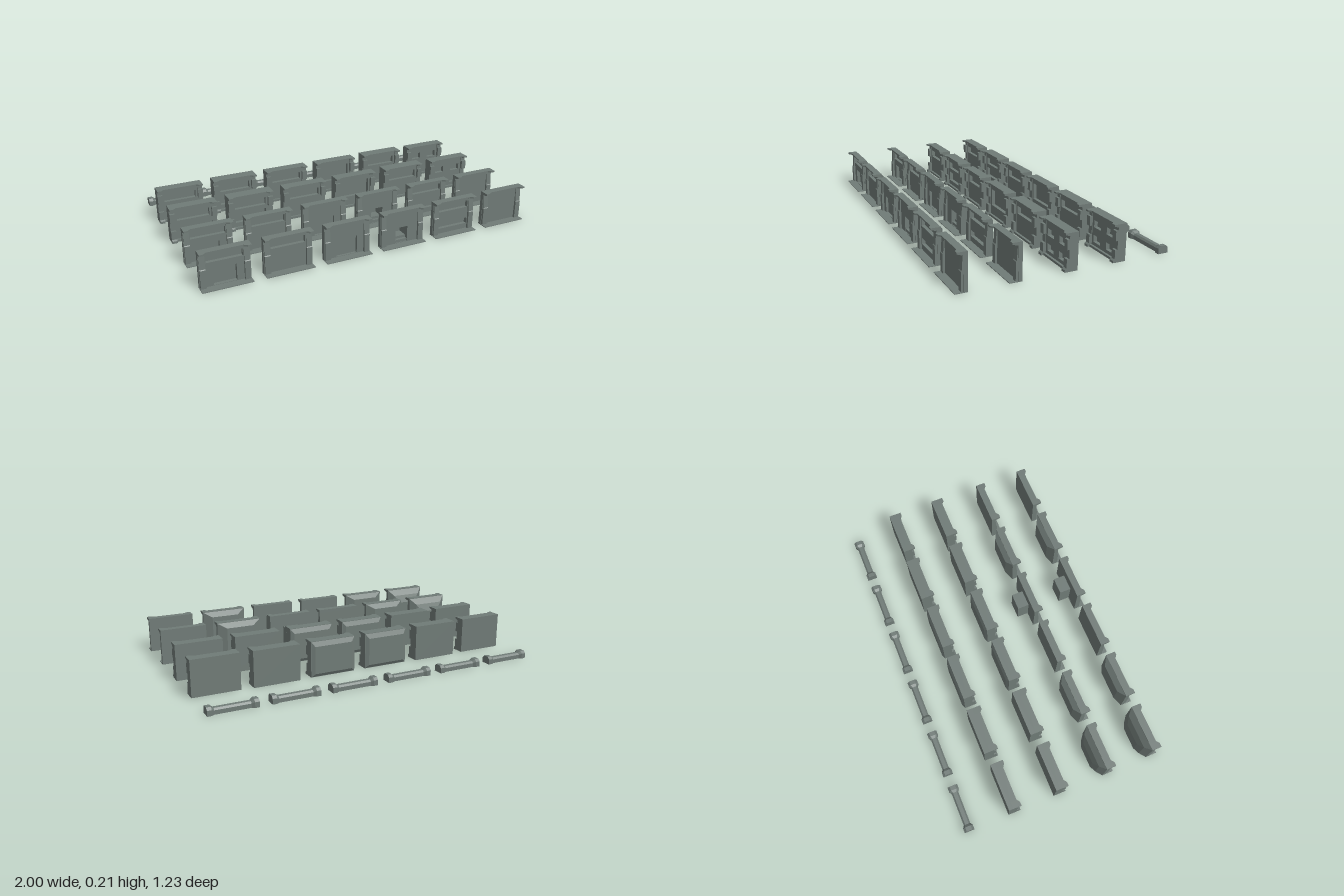
import * as THREE from 'three';

const W = 0.275, H = W / 2, PITCH = 0.345;

export function createModel() {
  const root = new THREE.Group();
  root.name = 'wallPanelKit';
  const stone = new THREE.MeshStandardMaterial({ color: 0x707b77 });
  stone.name = 'greyGreen';

  const add = (group, name, geometry) => {
    const mesh = new THREE.Mesh(geometry, stone);
    mesh.name = name;
    group.add(mesh);
    return mesh;
  };

  // Box given by its limits
  const box = (group, name, x0, x1, y0, y1, z0, z1) =>
    add(group, name, new THREE.BoxGeometry(x1 - x0, y1 - y0, z1 - z0)
      .translate((x0 + x1) / 2, (y0 + y1) / 2, (z0 + z1) / 2));

  // Flat-faced solid through convex rings of points
  const loft = (rings) => {
    const n = rings[0].length, tris = [];
    for (let r = 0; r < rings.length - 1; r++) {
      for (let i = 0; i < n; i++) {
        const j = (i + 1) % n, a = rings[r], b = rings[r + 1];
        tris.push([a[i], a[j], b[j]], [a[i], b[j], b[i]]);
      }
    }
    const last = rings[rings.length - 1];
    for (let i = 1; i < n - 1; i++) {
      tris.push([rings[0][0], rings[0][i + 1], rings[0][i]], [last[0], last[i], last[i + 1]]);
    }
    // turn every face outward
    let volume = 0;
    for (const [a, b, c] of tris) {
      volume += new THREE.Vector3(...a).dot(new THREE.Vector3(...b).cross(new THREE.Vector3(...c)));
    }
    const flat = tris.flatMap(([a, b, c]) => (volume < 0 ? [a, c, b] : [a, b, c])).flat();
    const g = new THREE.BufferGeometry();
    g.setAttribute('position', new THREE.Float32BufferAttribute(flat, 3));
    g.computeVertexNormals();
    return g;
  };

  // Side profile of [z, y] points drawn out from x0 to x1
  const prism = (points, x0, x1) => {
    const shape = new THREE.Shape(points.map(([z, y]) => new THREE.Vector2(-z, y)));
    return new THREE.ExtrudeGeometry(shape, { depth: x1 - x0, bevelEnabled: false })
      .rotateY(Math.PI / 2).translate(x0, 0, 0);
  };

  // Upright plate with rectangular holes [x0, x1, y0, y1]
  const plate = (rect, holes, z0, z1) => {
    const path = (P, [a, b, c, d]) => new P([[a, c], [b, c], [b, d], [a, d]].map(p => new THREE.Vector2(...p)));
    const shape = path(THREE.Shape, rect);
    holes.forEach(h => shape.holes.push(path(THREE.Path, h)));
    return new THREE.ExtrudeGeometry(shape, { depth: z1 - z0, bevelEnabled: false }).translate(0, 0, z0);
  };

  // Stepped bulge from rectangles [halfWidth, y0, y1, z]
  const bulge = (steps) => loft(steps.map(([w, a, b, z]) => [[-w, a, z], [w, a, z], [w, b, z], [-w, b, z]]));

  // Cornice whose ends stand further forward than its middle
  const cornice = (back, middle, end) => loft([
    [-H, end], [-H + 0.022, end], [-H + 0.04, middle],
    [H - 0.04, middle], [H - 0.022, end], [H, end],
  ].map(([x, f]) => [[x, 0.21, back], [x, 0.21, f], [x, 0.201, f], [x, 0.193, f - 0.025], [x, 0.193, back]]));

  const slot = [-0.098, 0.098, 0.14, 0.18];
  const lowSlot = [-0.098, 0.098, 0.035, 0.07];
  const shallow = [[H, 0.002, 0.208, 0.546], [0.085, 0.035, 0.178, 0.517]];
  const deep = [[H, 0.002, 0.208, 0.546], [0.1, 0.002, 0.17, 0.517], [0.062, 0.002, 0.12, 0.5]];
  const baySpecs = [
    { holes: [slot, [-0.062, 0.062, 0.006, 0.1]], back: deep },
    { holes: [slot], back: shallow },
    { holes: [[-0.062, 0.062, 0.006, 0.11]] },
    { holes: [[-0.038, 0.038, 0.006, 0.1]], niche: true },
    { holes: [slot, lowSlot], back: shallow },
    { holes: [] },
  ];

  // Tall wall with leaning pilasters and a base plate
  function bayWall(spec) {
    const g = new THREE.Group();
    g.name = 'bayWall';
    box(g, 'basePlate', -H, H, 0, 0.004, 0.545, 0.615);
    add(g, 'wallFace', plate([-H, H, 0.004, 0.2], spec.holes, 0.546, 0.567));
    add(g, 'cornice', cornice(0.545, 0.587, 0.602));
    const pillar = [[0.55, 0.003], [0.58, 0.003], [0.58, 0.108], [0.576, 0.112], [0.57, 0.198], [0.55, 0.198]];
    add(g, 'pilasterRight', prism(pillar, -H + 0.003, -H + 0.035));
    add(g, 'pilasterLeft', prism(pillar, H - 0.035, H - 0.003));
    if (spec.back) add(g, 'backBulge', bulge(spec.back));
    else if (!spec.niche) box(g, 'backPlate', -H, H, 0.002, 0.205, 0.545, 0.553);
    if (spec.niche) {
      add(g, 'nicheShell', plate([-0.05, 0.05, 0.001, 0.135], spec.holes, 0.485, 0.547));
      box(g, 'nicheBack', -0.05, 0.05, 0.001, 0.135, 0.476, 0.486);
      box(g, 'nicheStep', -0.038, 0.038, 0.004, 0.022, 0.487, 0.562);
      box(g, 'nicheUpperStep', -0.038, 0.038, 0.022, 0.036, 0.487, 0.545);
    }
    return g;
  }

  const upper = [-0.095, 0.095, 0.125, 0.17];
  const windows = [];
  for (const x of [-0.06, 0.06]) for (const y of [0.05, 0.135]) windows.push([x - 0.032, x + 0.032, y - 0.018, y + 0.022]);
  const panelSpecs = [
    { holes: [upper], back: -0.055 },
    { holes: [upper, [-0.095, 0.095, 0.04, 0.1]], back: -0.064 },
    { holes: [upper], back: -0.055, bevel: true },
    { holes: [[-0.095, 0.095, 0.07, 0.17]], back: -0.055, bevel: true },
    { holes: [upper], back: -0.064 },
    { holes: windows, back: -0.055 },
  ];

  // Thick wall with notched end posts and flanges
  function thickWall(spec) {
    const g = new THREE.Group();
    g.name = 'thickWall';
    box(g, 'backSlab', -H, H, 0, 0.21, spec.back, -0.03);
    add(g, 'wallFace', plate([-H, H, 0, 0.2], spec.holes, -0.03, -0.008));
    add(g, 'topFlange', cornice(-0.03, 0.006, 0.02));
    const post = [[-0.02, 0], [0.02, 0], [0.02, 0.013], [0.01, 0.02], [0.01, 0.07], [-0.004, 0.07],
      [-0.004, 0.12], [0.01, 0.12], [0.01, 0.175], [-0.004, 0.175], [-0.004, 0.196], [-0.02, 0.196]];
    add(g, 'postRight', prism(post, -H, -H + 0.03));
    add(g, 'postLeft', prism(post, H - 0.03, H));
    box(g, 'bottomFlange', -H + 0.03, H - 0.03, 0, 0.013, -0.01, 0.006);
    if (spec.bevel) add(g, 'backBulge', bulge([[H, 0, 0.21, -0.054], [0.115, 0.02, 0.18, -0.066]]));
    return g;
  }

  // Dumbbell-shaped rail
  function rail() {
    const g = new THREE.Group();
    g.name = 'rail';
    const ring = ([x, w, h]) => [[x, 0, -w], [x, h * 0.7, -w], [x, h, -w * 0.55],
      [x, h, w * 0.55], [x, h * 0.7, w], [x, 0, w]];
    add(g, 'railBar', loft([[-H, 0.03, 0.044], [-H + 0.025, 0.03, 0.044], [-H + 0.04, 0.02, 0.033],
      [H - 0.04, 0.02, 0.033], [H - 0.025, 0.03, 0.044], [H, 0.03, 0.044]].map(ring)));
    g.position.z = -0.585;
    return g;
  }

  // Six columns of every kind
  for (let c = 0; c < 6; c++) {
    const column = new THREE.Group();
    column.name = 'column' + (c + 1);
    column.position.x = -1 + H + c * PITCH;
    for (const dz of [0, -0.287]) {
      const bay = bayWall(baySpecs[c]);
      const thick = thickWall(panelSpecs[c]);
      bay.position.z = thick.position.z = dz;
      column.add(bay, thick);
    }
    column.add(rail());
    root.add(column);
  }
  return root;
}
